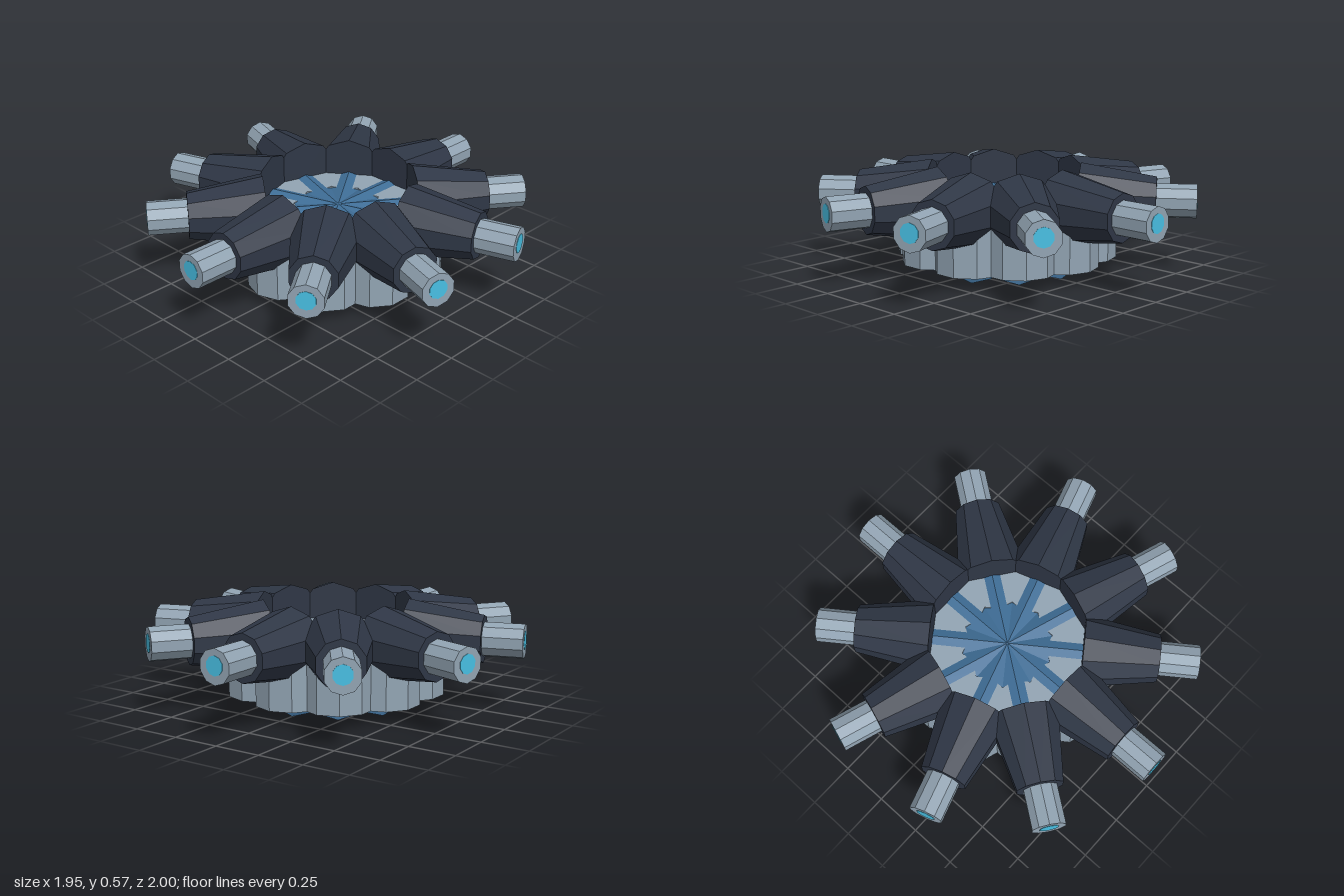
import * as THREE from 'three';

const makeMaterial = (name, color) => {
  const m = new THREE.MeshStandardMaterial({ color });
  m.name = name;
  return m;
};

const SPOKES = 10; // arms around the hub
const SIDES = 10;  // facets of every cylinder
const RING = 0.395; // distance from the centre to the inner end of each arm

// Faceted cylinder standing on y
function facetedCylinder(rTop, rBottom, length) {
  const g = new THREE.CylinderGeometry(rTop, rBottom, length, SIDES).toNonIndexed();
  g.computeVertexNormals();
  return g;
}

// Faceted cylinder lying along +z, from z0 to z1, at height y
function radialCylinder(r0, r1, z0, z1, y) {
  return facetedCylinder(r1, r0, z1 - z0).rotateX(Math.PI / 2).translate(0, y, (z0 + z1) / 2);
}

export function createModel() {
  const steel = makeMaterial('light steel', 0x92a4b3);
  const dark = makeMaterial('dark hull', 0x2f3746);
  const blue = makeMaterial('core blue', 0x3f6e97);
  const cyan = makeMaterial('glow cyan', 0x48bfe3);

  // One sector of the wheel, pointing along +z
  const parts = [
    ['coreBeam', radialCylinder(0.19, 0.19, 0, RING, 0.19), blue],
    ['baseDrum', facetedCylinder(0.19, 0.19, 0.295).translate(0, 0.2185, RING), steel],
    ['armHousing', radialCylinder(0.19, 0.125, RING, 0.79, 0.38), dark],
    ['nozzle', radialCylinder(0.09, 0.09, 0.7, 0.998, 0.38), steel],
    ['nozzleGlow', radialCylinder(0.05, 0.05, 0.994, 1.0, 0.385), cyan],
  ];

  const model = new THREE.Group();
  model.name = 'radialStation';

  // Repeat the sector around the centre
  for (let i = 0; i < SPOKES; i++) {
    const spoke = new THREE.Group();
    spoke.name = `spoke${i + 1}`;
    spoke.rotation.y = (i / SPOKES) * Math.PI * 2;
    for (const [name, geometry, material] of parts) {
      const mesh = new THREE.Mesh(geometry, material);
      mesh.name = name;
      spoke.add(mesh);
    }
    model.add(spoke);
  }
  return model;
}
